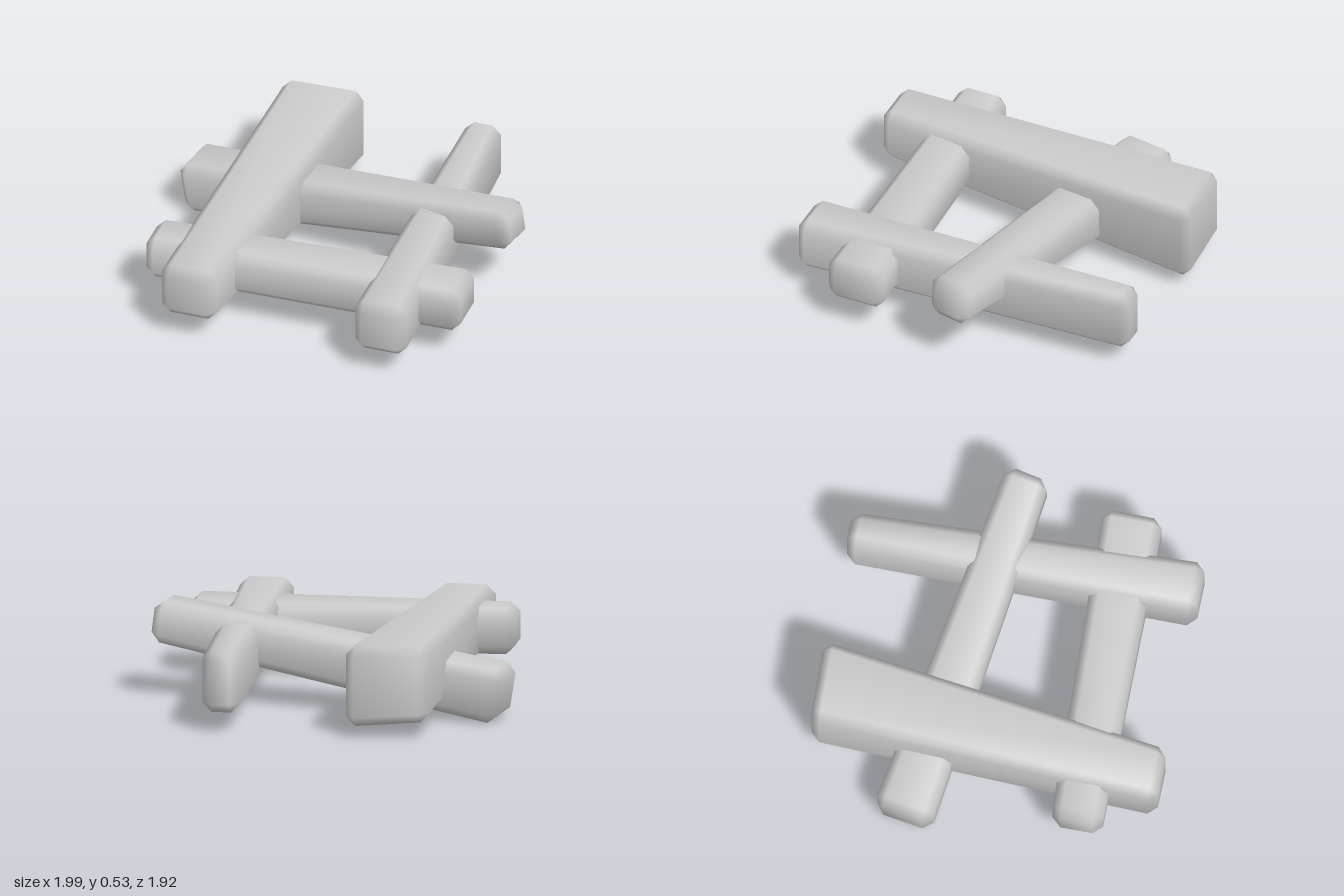
import * as THREE from 'three';

const material = new THREE.MeshStandardMaterial({ color: 0xcccccc });
const BEVEL = 0.05;
const CORNERS = [[0, 0], [1, 0], [1, 1], [0, 1]];

// Bevelled tapered beam between two four-cornered ends.
// Corners run anticlockwise from bottom left, looking at end a from outside; end b matches them.
function beam(name, a, b) {
  const A = a.map((p) => new THREE.Vector3(...p));
  const B = b.map((p) => new THREE.Vector3(...p));
  const length = A[0].distanceTo(B[0]);
  const at = (u, v, t) => {
    const face = (c) => c[0].clone().lerp(c[1], u).lerp(c[3].clone().lerp(c[2], u), v);
    return face(A).lerp(face(B), t);
  };
  const positions = [], index = [];
  const add = (u, v, t) => positions.push(...at(u, v, t).toArray()) / 3 - 1;

  // Rings: cap corners (each used twice), then the bevelled octagon, at both ends
  const ring = (t, end, cap) => {
    const du = BEVEL / end[0].distanceTo(end[1]);
    const dv = BEVEL / end[0].distanceTo(end[3]);
    return CORNERS.flatMap(([u, v], k) => {
      const iu = u ? 1 - du : du, iv = v ? 1 - dv : dv;
      if (cap) { const i = add(iu, iv, t); return [i, i]; }
      const onSide = add(u, iv, t), onLevel = add(iu, v, t);
      return k % 2 ? [onLevel, onSide] : [onSide, onLevel];
    });
  };
  const d = BEVEL / length;
  const rings = [ring(0, A, true), ring(d, A, false), ring(1 - d, B, false), ring(1, B, true)];
  const tri = (i, j, k) => { if (i !== j && j !== k && k !== i) index.push(i, j, k); };
  for (let r = 0; r < 3; r++) {
    for (let i = 0; i < 8; i++) {
      const p = rings[r], q = rings[r + 1], n = (i + 1) % 8;
      tri(p[i], q[i], q[n]);
      tri(p[i], q[n], p[n]);
    }
  }
  // End caps
  const [f, , , e] = rings;
  tri(f[0], f[2], f[4]); tri(f[0], f[4], f[6]);
  tri(e[0], e[4], e[2]); tri(e[0], e[6], e[4]);

  const geometry = new THREE.BufferGeometry();
  geometry.setAttribute('position', new THREE.Float32BufferAttribute(positions, 3));
  geometry.setIndex(index);
  geometry.computeVertexNormals();
  const mesh = new THREE.Mesh(geometry, material);
  mesh.name = name;
  return mesh;
}

// Square-cut ends facing along z or along x
const endZ = (z, x0, x1, y0, y1) => [[x0, y0, z], [x1, y0, z], [x1, y1, z], [x0, y1, z]];
const endX = (x, z0, z1, y0, y1) => [[x, y0, z0], [x, y0, z1], [x, y1, z1], [x, y1, z0]];

export function createModel() {
  const group = new THREE.Group();
  group.name = 'crossedBeams';

  // Thick lengthwise beam, widening to the back
  group.add(beam('thickBeam',
    endZ(0.955, -0.71, -0.4, 0.14, 0.44),
    [[-0.63, 0.1, -0.95], [-0.175, 0.06, -0.962], [-0.175, 0.515, -0.962], [-0.63, 0.515, -0.95]]));

  // Thin lengthwise beam
  group.add(beam('thinBeam',
    endZ(0.955, 0.385, 0.68, 0.14, 0.44),
    endZ(-0.958, 0.395, 0.595, 0.115, 0.457)));

  // Level front crossbar
  group.add(beam('frontCrossbar',
    endX(0.888, 0.68, 0.353, 0.165, 0.415),
    endX(-0.883, 0.69, 0.415, 0.165, 0.415)));

  // Slanting rear crossbar, rising to the model's left
  group.add(beam('rearCrossbar',
    [[0.96, 0.315, 0.05], [1.01, 0.315, -0.19], [0.98, 0.545, -0.19], [0.93, 0.545, 0.05]],
    [[-0.97, 0, -0.22], [-0.92, 0, -0.54], [-0.965, 0.29, -0.54], [-1.015, 0.29, -0.22]]));

  return group;
}
